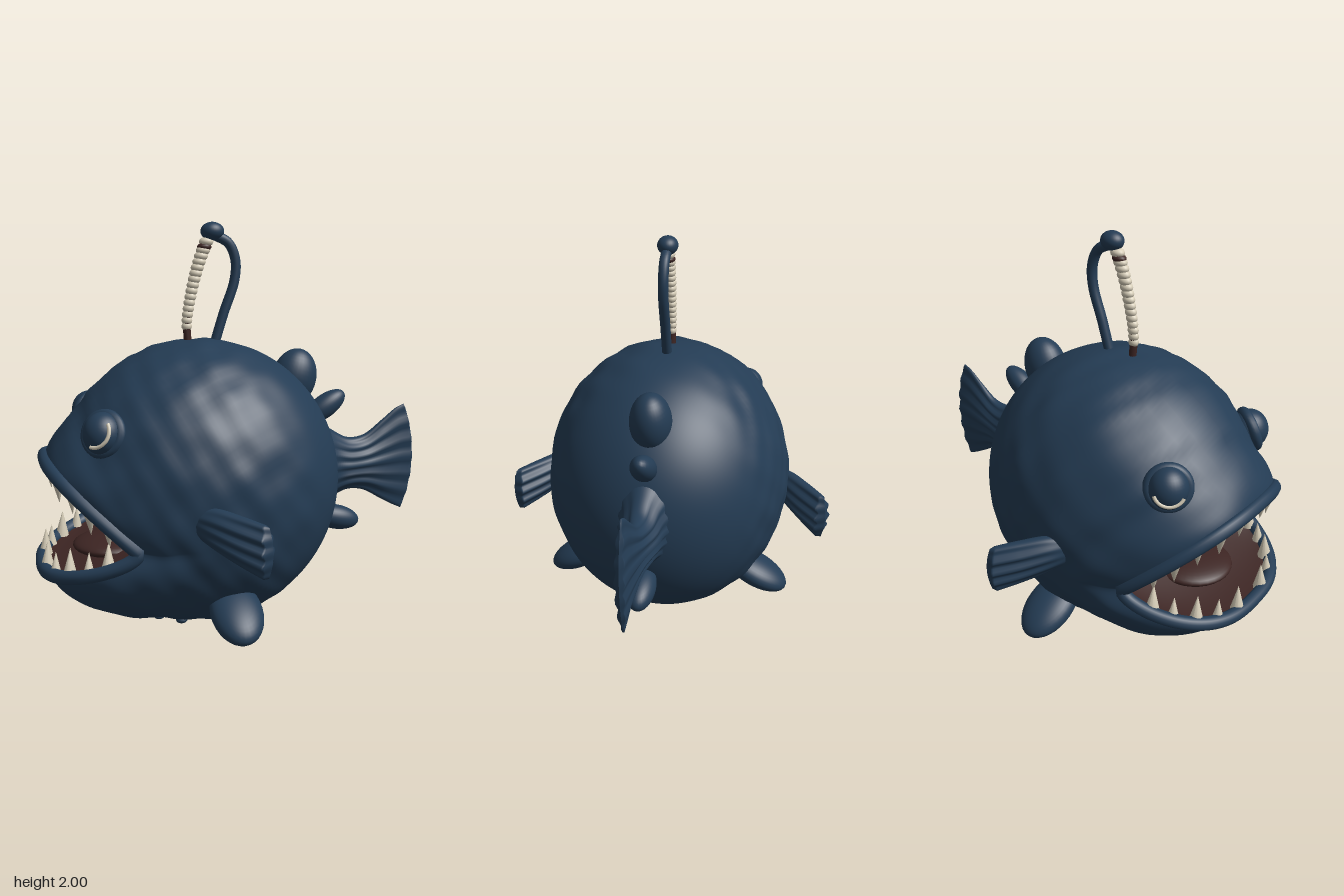
import * as THREE from 'three';

const mat = (name, color, side = THREE.FrontSide) => {
  const m = new THREE.MeshStandardMaterial({ color, side });
  m.name = name;
  return m;
};
const V = (x, y, z = 0) => new THREE.Vector3(x, y, z);

// Smooth surface from rings fn(u, angle), closed around the angle
function grid(fn, nu, nv, flip = false) {
  const pos = [], idx = [];
  for (let i = 0; i <= nu; i++)
    for (let j = 0; j < nv; j++) pos.push(...fn(i / nu, (j / nv) * Math.PI * 2).toArray());
  for (let i = 0; i < nu; i++)
    for (let j = 0; j < nv; j++) {
      const k = (j + 1) % nv;
      const a = i * nv + j, b = a + nv, c = i * nv + k, d = c + nv;
      if (flip) idx.push(a, c, b, c, d, b);
      else idx.push(a, b, c, c, b, d);
    }
  const g = new THREE.BufferGeometry();
  g.setAttribute('position', new THREE.Float32BufferAttribute(pos, 3));
  g.setIndex(idx);
  g.computeVertexNormals();
  return g;
}

// Fin along +x; sections are [x, centre y, half height, half thickness]
function fin(sections, ribs, ribDepth, roundEnd) {
  const curve = (k) => new THREE.CatmullRomCurve3(sections.map((s) => V(s[0], s[k], s[3])));
  const mid = curve(1), high = curve(2);
  const last = sections.length - 1;
  return grid((u, a) => {
    const t = Math.min(1, u / 0.94);
    const m = mid.getPoint(t), h = high.getPoint(t);
    const cap = u > 0.94 ? Math.sqrt(Math.max(0, 1 - ((u - 0.94) / 0.06) ** 2)) : 1;
    const v = Math.cos(a);
    const rib = 1 + ribDepth * t * Math.cos(v * Math.PI * ribs);
    const x = m.x + (1 - cap) * sections[last][3] * 0.5 - roundEnd * v * v * t ** 3;
    return V(x, m.y + h.y * v * (0.94 + 0.06 * cap), h.z * Math.sin(a) * rib * cap);
  }, 40, 64, true);
}

const CENTRE = V(-0.18, 0.73), RADII = V(0.71, 0.71, 0.63);

// Mouth rim: angle 0 is the upper lip, PI the lower lip
function lip(a) {
  const c = Math.cos(a), s = Math.abs(c) ** 1.3;
  const z = 0.5 * Math.sign(Math.sin(a)) * Math.abs(Math.sin(a)) ** 0.75;
  return c > 0 ? V(-0.56 - 0.38 * s, 0.53 + 0.35 * s, z)
    : V(-0.56 - 0.41 * s, 0.53 - 0.17 * s ** 0.6, z);
}

// Round body whose meridians run from the tail to the mouth rim
function skin(t, a) {
  const half = a > Math.PI ? 2 * Math.PI - a : a, side = a > Math.PI ? -1 : 1;
  const d = lip(half).sub(CENTRE).divide(RADII);
  const reach = d.length(), theta = t * Math.acos(d.x / reach);
  const az = THREE.MathUtils.lerp(half, Math.atan2(d.z, d.y), THREE.MathUtils.smoothstep(t, 0.3, 1));
  const start = 0.75 + 0.1 * Math.cos(half);
  let r = 1 + (reach - 1) * THREE.MathUtils.smoothstep(t, start, 1);
  const p = V(Math.cos(theta), Math.sin(theta) * Math.cos(az), side * Math.sin(theta) * Math.sin(az));
  // Lumpy skin, fading out toward the tail
  const lump = Math.sin(11 * p.x + 5 * p.y) * Math.sin(12 * p.y - 4 * p.z) * Math.sin(10 * p.z + 6 * p.x)
    + 0.6 * Math.sin(23 * p.x + 9 * p.z) * Math.sin(21 * p.y + 7 * p.x);
  r += 0.01 * lump * THREE.MathUtils.smoothstep(t, 0.3, 0.55) * (1 - THREE.MathUtils.smoothstep(t, 0.9, 1));
  return p.multiplyScalar(r).multiply(RADII).add(CENTRE);
}

export function createModel() {
  const root = new THREE.Group();
  root.name = 'anglerfish';
  const navy = mat('navy skin', 0x243c54);
  const cream = mat('cream', 0xd6cdb8);
  const maroon = mat('dark maroon', 0x3d2523, THREE.DoubleSide);

  const add = (name, geo, material, position = V(0, 0), scale) => {
    const m = new THREE.Mesh(geo, material);
    m.name = name;
    m.position.copy(position);
    if (scale) m.scale.copy(scale);
    root.add(m);
    return m;
  };
  const ball = new THREE.SphereGeometry(1, 32, 20);
  const bead = new THREE.SphereGeometry(1, 14, 10);
  const blob = (name, p, s, rz = 0, rx = 0) => {
    const m = add(name, ball, navy, p, s);
    m.rotation.set(rx, 0, rz);
    return m;
  };

  add('body', grid(skin, 90, 120), navy);

  // Mouth: rounded lips, cavity and tongue
  const rim = [];
  for (let i = 0; i < 72; i++) rim.push(lip((i / 72) * Math.PI * 2));
  add('lips', new THREE.TubeGeometry(new THREE.CatmullRomCurve3(rim, true), 160, 0.033, 12, true), navy);
  const throat = V(-0.38, 0.55);
  add('mouthCavity', grid((s, a) => {
    const p = lip(a), k = Math.cos((s * Math.PI) / 2);
    return V(THREE.MathUtils.lerp(p.x, throat.x, s), throat.y + (p.y - throat.y) * k, p.z * k * 0.97);
  }, 16, 72), maroon);
  add('tongue', ball, maroon, V(-0.62, 0.43), V(0.2, 0.05, 0.2));

  // Teeth follow both lips, leaning slightly inward
  const tooth = new THREE.ConeGeometry(0.036, 0.135, 10);
  tooth.translate(0, 0.0675, 0);
  const placeTooth = (name, a, up, size) => {
    const p = lip(a);
    const m = add(name, tooth, cream, V(p.x + 0.015, p.y, p.z * 0.96), V(1, 1, 1).multiplyScalar(size));
    m.quaternion.setFromUnitVectors(V(0, 1), V(0.04, up, -p.z * 0.25).normalize());
  };
  for (const side of [-1, 1]) {
    [7, 21, 35, 49, 62].forEach((deg, i) =>
      placeTooth('upperTooth', side * THREE.MathUtils.degToRad(deg), -1, i % 2 ? 1.05 : 0.92));
    [8, 22, 36, 50, 63].forEach((deg, i) =>
      placeTooth('lowerTooth', Math.PI + side * THREE.MathUtils.degToRad(deg), 1, i % 2 ? 0.8 : 1));
  }

  // Features in mirrored pairs
  const pectoral = fin([[0, 0.03, 0.07, 0.045], [0.1, 0.01, 0.095, 0.055],
    [0.22, -0.02, 0.11, 0.055], [0.35, -0.05, 0.12, 0.045]], 4, 0.25, 0.02);
  for (const s of [-1, 1]) {
    const eyePos = V(-0.69, 1.05, 0.35 * s);
    const out = V(-0.6, 0.3, 0.75 * s).normalize();
    blob('eye', eyePos, V(0.092, 0.1, 0.092));
    const lid = add('eyelid', new THREE.TorusGeometry(0.088, 0.026, 12, 36), navy, eyePos.clone());
    lid.quaternion.setFromUnitVectors(V(0, 0, 1), out);
    const glint = add('eyeRim', new THREE.TorusGeometry(0.07, 0.009, 8, 24, 2.4), cream,
      eyePos.clone().addScaledVector(out, 0.064));
    glint.quaternion.copy(lid.quaternion);
    glint.rotateZ(s > 0 ? -1.9 : 2.6);

    const f = add('pectoralFin', pectoral, navy, V(-0.3, 0.645, 0.57 * s));
    f.rotation.y = -0.8 * s;
    blob('pelvicFin', V(-0.11, 0.205, 0.49 * s), V(0.125, 0.075, 0.19), 0, 0.48 * s);
  }

  // Tail stalk and fan in one sweep
  add('tail', fin([[0.4, 0.77, 0.27, 0.2], [0.53, 0.77, 0.18, 0.11], [0.62, 0.765, 0.14, 0.085],
    [0.72, 0.765, 0.15, 0.055], [0.83, 0.775, 0.215, 0.036], [0.92, 0.785, 0.265, 0.026],
    [0.985, 0.785, 0.285, 0.02]], 6, 0.35, 0.05), navy);

  // Single fins on the back and under the tail
  blob('frontDorsalFin', V(0.32, 1.23), V(0.115, 0.15, 0.1), -0.25);
  blob('rearDorsalFin', V(0.49, 1.075), V(0.125, 0.06, 0.06), 0.6);
  blob('analFin', V(0.56, 0.475), V(0.135, 0.065, 0.068), -0.22);

  // Warts under the belly
  [[-0.4, 0.03, 0.03], [-0.22, 0.025, -0.07], [-0.3, 0.035, 0.12], [-0.14, 0.03, 0.06], [-0.48, 0.06, -0.1]]
    .forEach(([x, y, z]) => add('wart', bead, navy, V(x, y, z), V(0.03, 0.02, 0.03)));

  // Lure: bent stalk, knob and hanging string of beads
  const stalk = new THREE.CatmullRomCurve3([V(-0.1, 1.4), V(-0.05, 1.56), V(0.005, 1.72), V(0.01, 1.82),
    V(-0.025, 1.9), V(-0.1, 1.94)]);
  add('lureStalk', new THREE.TubeGeometry(stalk, 48, 0.025, 12), navy);
  add('lureKnob', ball, navy, V(-0.105, 1.955), V(0.058, 0.045, 0.05));
  const string = new THREE.CatmullRomCurve3([V(-0.13, 1.92), V(-0.175, 1.8), V(-0.21, 1.67), V(-0.235, 1.52),
    V(-0.23, 1.41)]);
  add('lureString', new THREE.TubeGeometry(string, 32, 0.019, 10), maroon);
  add('lureBand', bead, maroon, string.getPointAt(0.08), V(0.036, 0.02, 0.03));
  for (let i = 0; i < 15; i++) {
    const r = 0.036 - 0.0007 * i;
    add('lureBead', bead, cream, string.getPointAt(0.03 + i * 0.055 + (i > 0 ? 0.03 : 0)),
      V(r, 0.023, r * 0.85));
  }
  return root;
}
